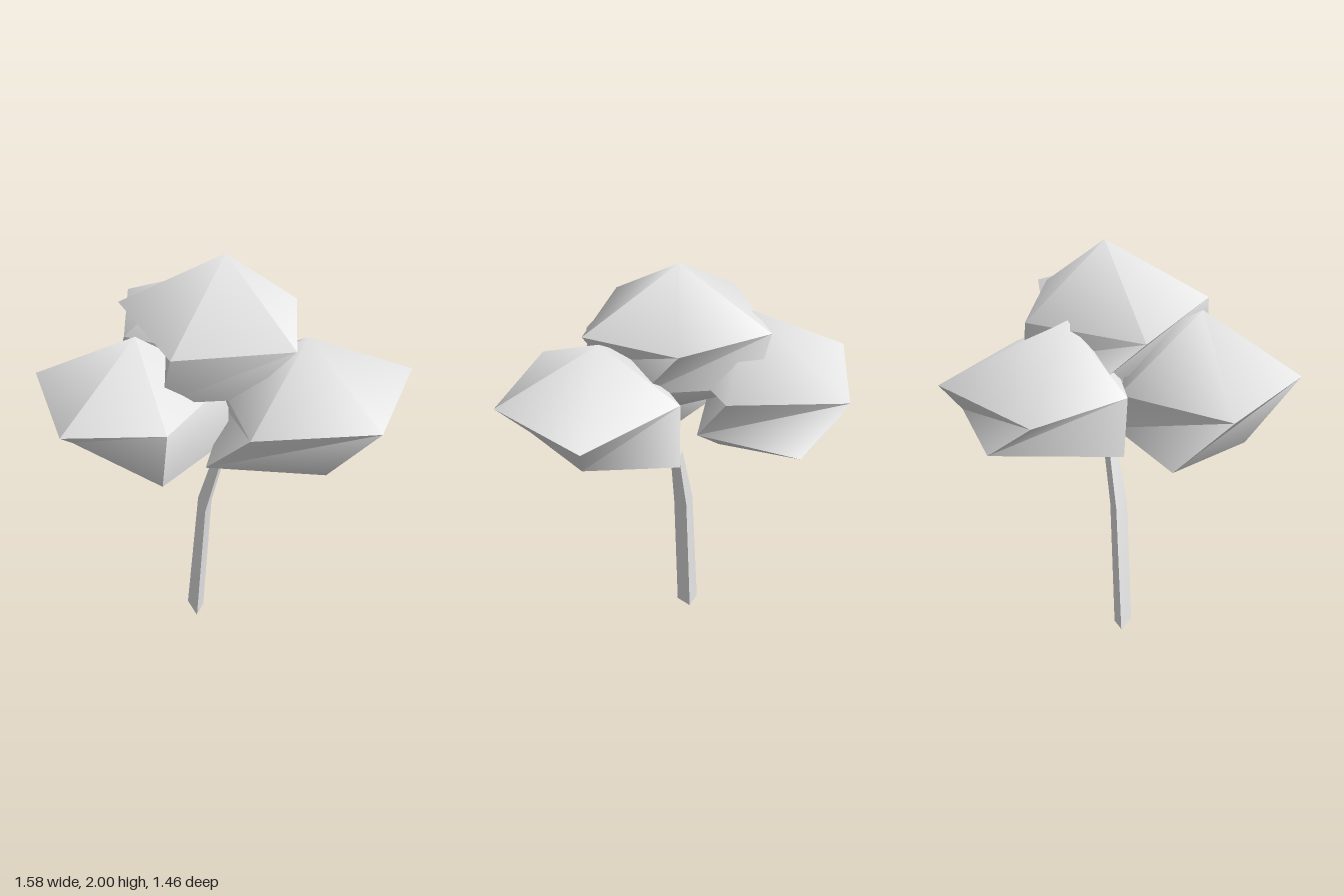
import * as THREE from 'three';
import { toCreasedNormals } from 'three/addons/utils/BufferGeometryUtils.js';

// Closed solid from stacked rings of [x, y, z]; rings turn from +x towards +z.
function solid(points, faces) {
  const g = new THREE.BufferGeometry();
  g.setAttribute('position', new THREE.Float32BufferAttribute(points.flat(), 3));
  g.setIndex(faces.flat());
  return g;
}

// Leaf clump: a squashed, uneven blob with a peak, two rings of five and a foot.
// The band between the rings is twisted, which folds its sides inward.
function clumpGeometry({ peak, foot, upper, upperY, lower, lowerY }) {
  const points = [
    peak,
    ...upper.map(([x, z]) => [x, upperY, z]),
    ...lower.map(([x, z]) => [x, lowerY, z]),
    foot,
  ];
  const faces = [];
  for (let i = 0; i < 5; i++) {
    const j = (i + 1) % 5;
    const u = 1 + i, un = 1 + j, l = 6 + i, ln = 6 + j;
    faces.push([0, un, u], [u, un, ln], [u, ln, l], [11, l, ln]);
  }
  return toCreasedNormals(solid(points, faces), 1.35);
}

// Bent three-sided trunk, closed at both ends.
function trunkGeometry(rings) {
  const faces = [[0, 1, 2]];
  for (let r = 0; r < rings.length - 1; r++) {
    for (let i = 0; i < 3; i++) {
      const a = r * 3 + i, b = r * 3 + (i + 1) % 3;
      faces.push([a, a + 3, b], [b, a + 3, b + 3]);
    }
  }
  const t = (rings.length - 1) * 3;
  faces.push([t, t + 2, t + 1]);
  return toCreasedNormals(solid(rings.flat(), faces), 0.5);
}

const clumps = {
  topClump: {
    peak: [-0.01, 2, 0.04], foot: [0, 1.31, 0.05], upperY: 1.73, lowerY: 1.51,
    upper: [[-0.12, -0.35], [0.27, -0.13], [0.33, 0.31], [-0.15, 0.47], [-0.48, 0.04]],
    lower: [[-0.02, -0.33], [0.28, 0.05], [0.12, 0.36], [-0.2, 0.45], [-0.37, -0.15]],
  },
  rightClump: {
    peak: [-0.32, 1.76, 0.36], foot: [-0.15, 1.05, 0.2], upperY: 1.49, lowerY: 1.26,
    upper: [[-0.42, -0.05], [0.03, 0.2], [-0.13, 0.64], [-0.54, 0.73], [-0.79, 0.29]],
    lower: [[-0.3, -0.02], [0.05, 0.3], [-0.15, 0.67], [-0.6, 0.45], [-0.71, 0.07]],
  },
  backClump: {
    peak: [-0.22, 1.76, -0.2], foot: [-0.16, 1.06, -0.08], upperY: 1.51, lowerY: 1.28,
    upper: [[-0.12, -0.73], [0.17, -0.3], [-0.05, 0.05], [-0.49, -0.04], [-0.59, -0.48]],
    lower: [[0.05, -0.6], [0.12, -0.13], [-0.25, 0.03], [-0.56, -0.08], [-0.36, -0.6]],
  },
  leftClump: {
    peak: [0.36, 1.74, 0.2], foot: [0.15, 1.08, 0.12], upperY: 1.51, lowerY: 1.28,
    upper: [[0.27, -0.14], [0.79, -0.01], [0.7, 0.5], [0.2, 0.64], [0, 0.25]],
    lower: [[0.37, -0.2], [0.61, 0.13], [0.49, 0.5], [0, 0.54], [0, 0.1]],
  },
};

export function createModel() {
  const model = new THREE.Group();
  model.name = 'tree';
  const paleGrey = new THREE.MeshStandardMaterial({ color: 0xe7e7e7 });
  paleGrey.name = 'paleGrey';

  const add = (name, geometry) => {
    const mesh = new THREE.Mesh(geometry, paleGrey);
    mesh.name = name;
    model.add(mesh);
  };

  // Foliage
  for (const [name, shape] of Object.entries(clumps)) add(name, clumpGeometry(shape));

  // Trunk, leaning and bending towards the crown
  add('trunk', trunkGeometry([
    [[-0.21, 0.01, 0.065], [-0.13, 0, 0.06], [-0.145, 0, 0.145]],
    [[-0.145, 0.71, 0.055], [-0.08, 0.7, 0.05], [-0.095, 0.69, 0.13]],
    [[-0.045, 1.04, 0.05], [0, 1.03, 0.04], [-0.01, 1.03, 0.095]],
  ]));
  return model;
}
